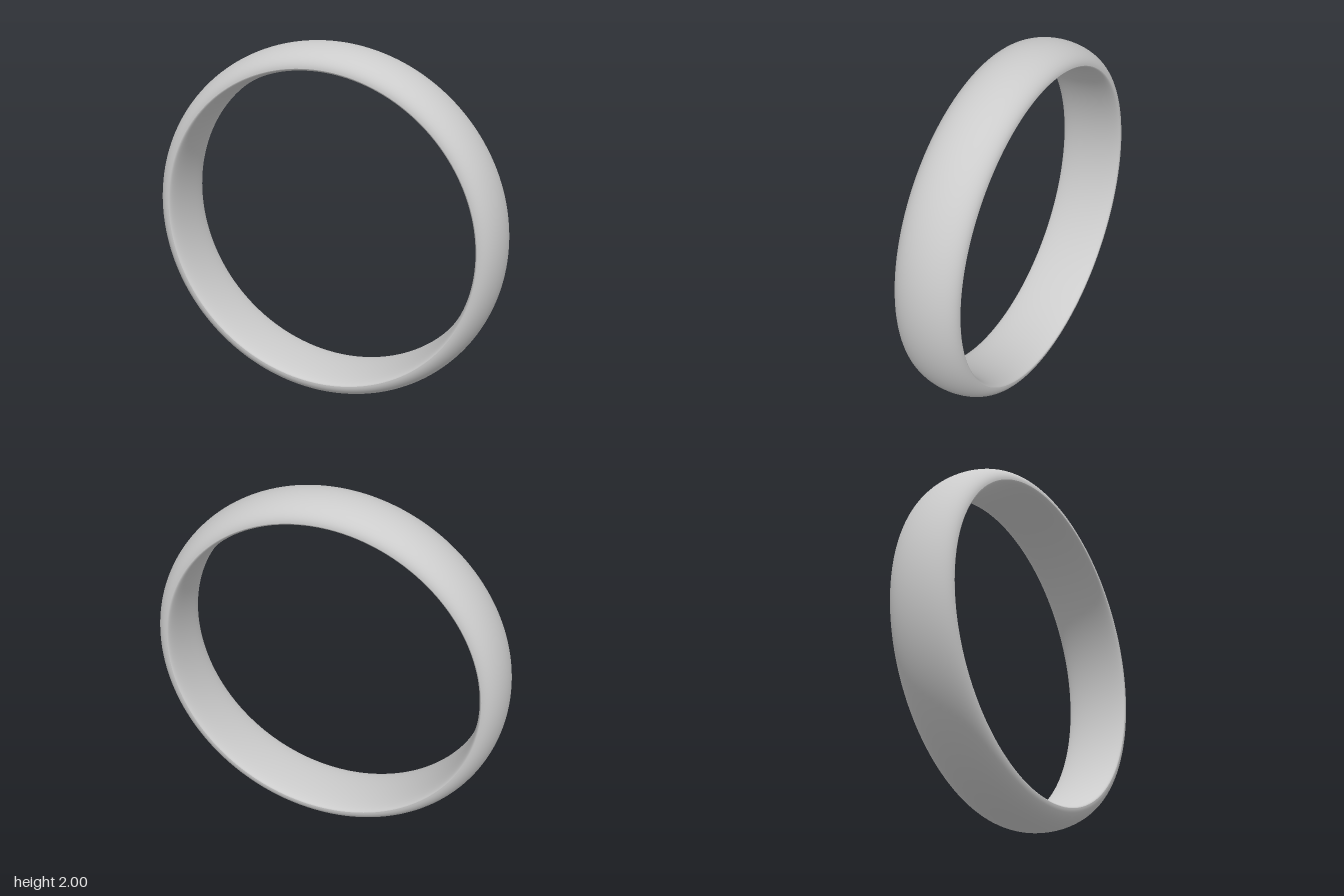
import * as THREE from 'three';

const EDGE_RADIUS = 0.9;   // where the outer and inner faces meet
const HALF_WIDTH = 0.185;
const SEGMENTS = 160;

// Half-ellipse profile from one rim to the other, bulging radially by the given amount.
// Positive bulge runs outward; negative bulge runs back along the bore.
function bandFace(name, bulge, steps, material) {
  const direction = Math.sign(bulge);
  const points = [];
  for (let i = 0; i <= steps; i++) {
    const t = (i / steps - 0.5) * Math.PI;
    points.push(new THREE.Vector2(
      EDGE_RADIUS + bulge * Math.cos(t),
      direction * HALF_WIDTH * Math.sin(t)
    ));
  }
  const geometry = new THREE.LatheGeometry(points, SEGMENTS);
  geometry.rotateX(Math.PI / 2);
  const mesh = new THREE.Mesh(geometry, material);
  mesh.name = name;
  return mesh;
}

export function createModel() {
  const material = new THREE.MeshStandardMaterial({ color: 0xcccccc });
  const ring = new THREE.Group();
  ring.name = 'ring';

  // Domed outside and gently curved bore, kept separate for a crisp rim
  ring.add(bandFace('outerBand', 0.1, 40, material));
  ring.add(bandFace('innerBand', -0.03, 28, material));

  ring.position.y = 1;
  const model = new THREE.Group();
  model.add(ring);
  return model;
}
